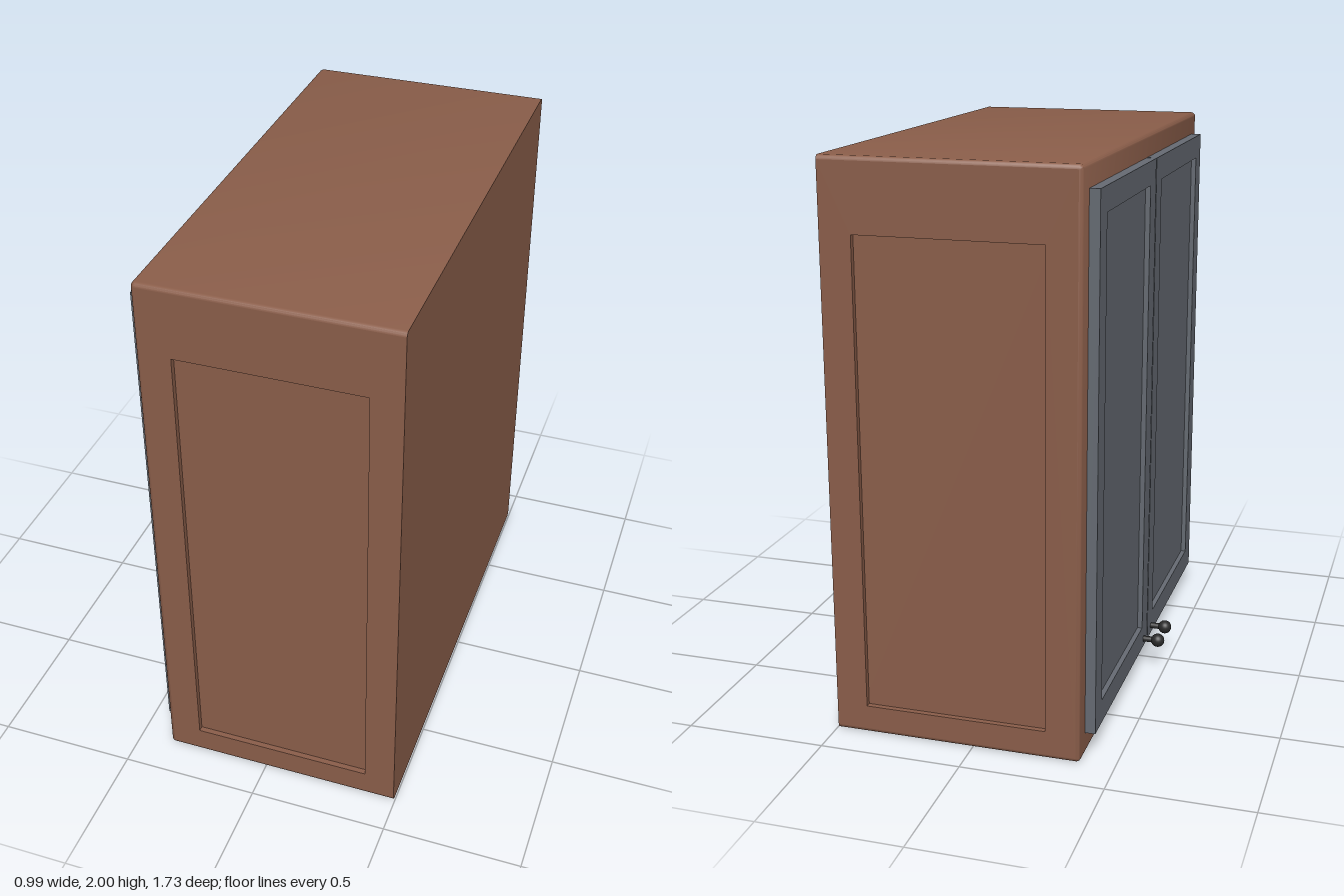
import * as THREE from 'three';
import { toCreasedNormals } from 'three/addons/utils/BufferGeometryUtils.js';

const wood = new THREE.MeshStandardMaterial({ color: 0x8b5e4a });
const grey = new THREE.MeshStandardMaterial({ color: 0x666b73 });
const dark = new THREE.MeshStandardMaterial({ color: 0x2a2a2a });

// Cabinet extents: doors face -x, the sharp-edged wall side is +x
const FRONT = -0.38, BACK = 0.495, HEIGHT = 2, HALF = 0.865, R = 0.015, RECESS = 0.02;

function addMesh(parent, name, geometry, material, x = 0, y = 0, z = 0) {
  const mesh = new THREE.Mesh(geometry, material);
  mesh.name = name;
  mesh.position.set(x, y, z);
  parent.add(mesh);
  return mesh;
}

function rectangle(PathType, x0, y0, x1, y1) {
  return new PathType([[x0, y0], [x1, y0], [x1, y1], [x0, y1]].map(p => new THREE.Vector2(...p)));
}

// Flat frame: outer rectangle with a rectangular opening
function frameGeometry(outer, inner, depth) {
  const shape = rectangle(THREE.Shape, ...outer);
  shape.holes.push(rectangle(THREE.Path, ...inner));
  return new THREE.ExtrudeGeometry(shape, { depth, bevelEnabled: false });
}

// Rounded shell lofted along x, left open where the panelled sides go
function shellGeometry() {
  const steps = 4;
  const ring = (x, radius) => {
    const points = [];
    for (let c = 0; c < 4; c++) {
      const z = (c === 0 || c === 3 ? 1 : -1) * (HALF - R);
      const y = c < 2 ? HEIGHT - R : R;
      for (let s = 0; s <= steps; s++) {
        const a = (c + s / steps) * Math.PI / 2;
        points.push(new THREE.Vector3(x, y + radius * Math.sin(a), z + radius * Math.cos(a)));
      }
    }
    return points;
  };
  const rings = [];
  for (let k = 0; k <= steps; k++) {
    const t = k / steps * Math.PI / 2;
    rings.push(ring(FRONT + R * (1 - Math.cos(t)), R * Math.sin(t)));
  }
  rings.push(ring(BACK, R));

  const positions = [];
  const triangle = (a, b, c) => {
    if (new THREE.Triangle(a, b, c).getArea() < 1e-9) return;
    for (const p of [a, b, c]) positions.push(p.x, p.y, p.z);
  };
  const n = rings[0].length;
  const frontCentre = new THREE.Vector3(FRONT, HEIGHT / 2, 0);
  const backCentre = new THREE.Vector3(BACK, HEIGHT / 2, 0);
  const last = rings.length - 1;
  for (let i = 0; i < n; i++) {
    const j = (i + 1) % n;
    triangle(frontCentre, rings[0][i], rings[0][j]);
    triangle(backCentre, rings[last][j], rings[last][i]);
    const flatSide = i === 2 * steps + 1 || i === n - 1;
    for (let k = 0; k < last; k++) {
      if (flatSide && k === last - 1) continue;
      const a = rings[k], b = rings[k + 1];
      triangle(a[i], b[i], b[j]);
      triangle(a[i], b[j], a[j]);
    }
  }
  const geometry = new THREE.BufferGeometry();
  geometry.setAttribute('position', new THREE.Float32BufferAttribute(positions, 3));
  return toCreasedNormals(geometry, 0.6);
}

function buildCabinet() {
  const cabinet = new THREE.Group();
  cabinet.name = 'cabinet';
  addMesh(cabinet, 'cabinetShell', shellGeometry(), wood);
  // Recessed panel on each side
  const opening = [-0.26, 0.1, 0.385, 1.75];
  const frame = frameGeometry([FRONT + R, R, BACK, HEIGHT - R], opening, RECESS);
  const panel = new THREE.BoxGeometry(0.7, 1.7, 0.01);
  for (const side of [1, -1]) {
    addMesh(cabinet, 'sideFrame', frame, wood, 0, 0, side > 0 ? HALF - RECESS : -HALF);
    addMesh(cabinet, 'sidePanel', panel, wood, 0.0625, 0.925, side * (HALF - RECESS - 0.005));
  }
  return cabinet;
}

// Framed door with an inset panel, spanning z0 to z1
function buildDoor(z0, z1) {
  const door = new THREE.Group();
  door.name = 'door';
  const y0 = 0.08, y1 = 1.92, border = 0.085, depth = 0.036;
  const frame = frameGeometry([z0, y0, z1, y1],
    [z0 + border, y0 + border, z1 - border, y1 - border], depth);
  frame.rotateY(-Math.PI / 2);
  addMesh(door, 'doorFrame', frame, grey, FRONT);
  const panel = new THREE.BoxGeometry(0.018, y1 - y0 - 2 * border, z1 - z0 - 2 * border);
  addMesh(door, 'doorPanel', panel, grey, FRONT - 0.009, (y0 + y1) / 2, (z0 + z1) / 2);
  return door;
}

// Ball knob on a short stem
function buildKnob(z) {
  const knob = new THREE.Group();
  knob.name = 'knob';
  knob.position.set(0, 0.11, z);
  const stem = new THREE.CylinderGeometry(0.011, 0.011, 0.06, 20).rotateZ(Math.PI / 2);
  addMesh(knob, 'knobStem', stem, dark, -0.443);
  addMesh(knob, 'knobBall', new THREE.SphereGeometry(0.025, 24, 16), dark, -0.471);
  return knob;
}

export function createModel() {
  const model = new THREE.Group();
  model.name = 'wallCabinet';
  model.add(buildCabinet());
  model.add(buildDoor(-0.798, -0.02), buildDoor(-0.012, 0.795));
  model.add(buildKnob(-0.077), buildKnob(0.049));
  return model;
}
